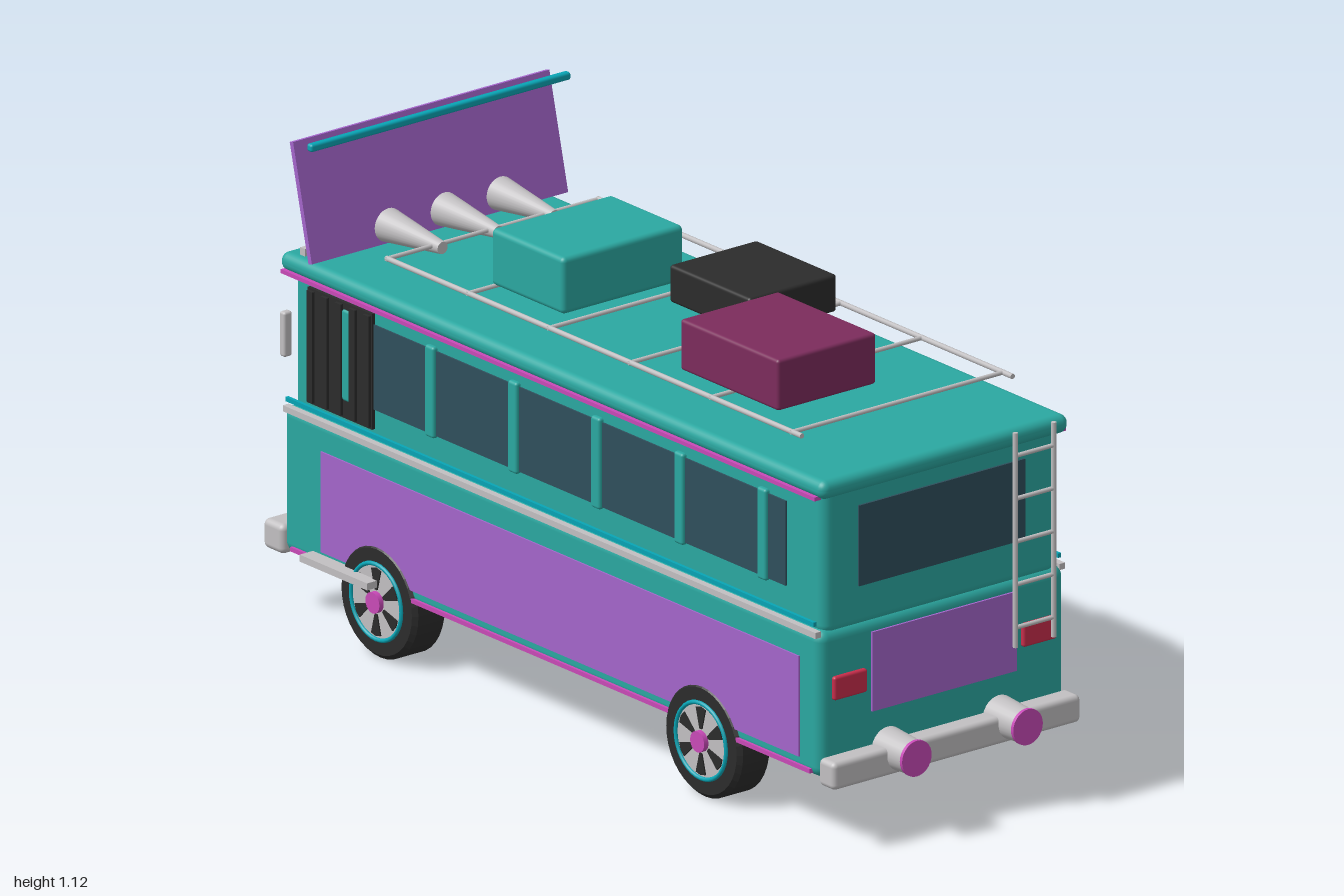
import * as THREE from 'three';
import { RoundedBoxGeometry } from 'three/addons/geometries/RoundedBoxGeometry.js';

const paint = (name, color) => {
  const m = new THREE.MeshStandardMaterial({ color });
  m.name = name;
  return m;
};

export function createModel() {
  const bus = new THREE.Group();
  bus.name = 'camperBus';
  const teal = paint('teal', 0x2ba8a1);
  const cyan = paint('cyan', 0x08a5b5);
  const purple = paint('purple', 0xa566cc);
  const magenta = paint('magenta', 0xc94ab8);
  const silver = paint('silver', 0xc2c0c2);
  const black = paint('black', 0x2c2c2c);
  const glass = paint('glass', 0x2f4f5c);
  const red = paint('red', 0xc82d4b);
  const maroon = paint('maroon', 0x7c2c5c);

  const add = (name, geo, mat, x = 0, y = 0, z = 0, parent = bus) => {
    const m = new THREE.Mesh(geo, mat);
    m.name = name;
    m.position.set(x, y, z);
    parent.add(m);
    return m;
  };
  // Box given by its limits on each axis; r > 0 rounds the edges
  const box = (name, mat, [x0, x1], [y0, y1], [z0, z1], r = 0) => {
    const s = [x1 - x0, y1 - y0, z1 - z0];
    const geo = r ? new RoundedBoxGeometry(...s, 3, r) : new THREE.BoxGeometry(...s);
    return add(name, geo, mat, (x0 + x1) / 2, (y0 + y1) / 2, (z0 + z1) / 2);
  };
  // Round bar between two points
  const bar = (name, mat, a, b, r) => {
    const p = new THREE.Vector3(...a), d = new THREE.Vector3(...b).sub(p);
    const m = add(name, new THREE.CylinderGeometry(r, r, d.length(), 10), mat);
    m.position.copy(p).addScaledVector(d, 0.5);
    m.quaternion.setFromUnitVectors(new THREE.Vector3(0, 1, 0), d.normalize());
    return m;
  };
  // Cylinder along z: r1 at the +z end, r0 at the -z end
  const zCyl = (name, mat, r1, r0, len, x, y, z) => {
    const geo = new THREE.CylinderGeometry(r1, r0, len, 28).rotateX(Math.PI / 2);
    return add(name, geo, mat, x, y, z);
  };

  // Body shell
  box('lowerBody', teal, [-0.34, 0.34], [0.15, 0.487], [-0.935, 0.9], 0.025);
  box('upperBody', teal, [-0.323, 0.323], [0.47, 0.82], [-0.918, 0.892], 0.025);
  box('roof', teal, [-0.343, 0.343], [0.792, 0.835], [-0.945, 0.912], 0.02);
  box('underbodyPlate', cyan, [-0.262, 0.262], [0.127, 0.135], [-0.78, 0.78]);
  box('chassis', teal, [-0.25, 0.25], [0.134, 0.16], [-0.77, 0.77]);

  // Side details on both flanks
  for (const s of [-1, 1]) {
    const span = (a, b) => (s > 0 ? [a, b] : [-b, -a]);
    box('sideGlass', glass, span(0.32, 0.327), [0.556, 0.75], [-0.775, 0.765]);
    for (let i = 0; i < 6; i++) {
      const z = 0.69 - 0.283 * i;
      box('windowPillar', teal, span(0.318, 0.335), [0.55, 0.76], [z - 0.016, z + 0.016], 0.007);
    }
    box('sidePanel', purple, span(0.336, 0.344), [0.187, 0.417], [-0.8, 0.83]);
    box('beltTrim', silver, span(0.33, 0.346), [0.474, 0.488], [-0.925, 0.89]);
    box('upperBeltTrim', cyan, span(0.335, 0.343), [0.498, 0.508], [-0.92, 0.88]);
    box('roofTrim', magenta, span(0.33, 0.348), [0.79, 0.799], [-0.93, 0.89]);
    box('sillTrim', magenta, span(0.335, 0.346), [0.16, 0.17], [-0.9, 0.87]);
    box('mirror', silver, span(0.373, 0.396), [0.627, 0.73], [-0.877, -0.858], 0.006);
    box('tailLight', red, span(0.216, 0.308), [0.328, 0.382], [0.89, 0.91], 0.006);

    // Exhausts
    zCyl('exhaust', silver, 0.038, 0.046, 0.11, 0.154 * s, 0.187, 0.94);
    zCyl('exhaustTip', magenta, 0.041, 0.041, 0.008, 0.154 * s, 0.187, 0.996);

    // Headlights
    zCyl('headlight', silver, 0.064, 0.06, 0.025, 0.215 * s, 0.342, -0.943);
    const ring = new THREE.TorusGeometry(0.06, 0.006, 8, 28);
    add('headlightRing', ring, silver, 0.215 * s, 0.342, -0.953);
  }

  // Door and step on one side
  box('door', black, [-0.331, -0.32], [0.51, 0.775], [-0.86, -0.64]);
  for (let i = 0; i < 5; i++) {
    const z = -0.845 + i * 0.048;
    box('doorSlat', black, [-0.338, -0.325], [0.515, 0.77], [z - 0.01, z + 0.01]);
  }
  box('doorStep', silver, [-0.377, -0.335], [0.164, 0.18], [-0.83, -0.6]);

  // Tail end
  box('rearWindow', glass, [-0.23, 0.23], [0.57, 0.755], [0.89, 0.897]);
  box('rearPanel', purple, [-0.2, 0.2], [0.278, 0.46], [0.898, 0.905]);
  box('rearBumper', silver, [-0.343, 0.343], [0.14, 0.203], [0.895, 0.95], 0.012);

  // Ladder
  for (const x of [0.184, 0.29]) bar('ladderRail', silver, [x, 0.34, 0.92], [x, 0.832, 0.92], 0.006);
  for (let i = 0; i < 5; i++) {
    const y = 0.385 + i * 0.0985;
    bar('ladderRung', silver, [0.184, y, 0.92], [0.29, y, 0.92], 0.005);
  }

  // Nose end
  box('windscreen', glass, [-0.29, 0.29], [0.52, 0.762], [-0.924, -0.916]);
  box('windscreenVisor', magenta, [-0.22, 0.22], [0.765, 0.788], [-0.934, -0.918]);
  box('grille', black, [-0.135, 0.135], [0.288, 0.396], [-0.942, -0.93]);
  for (let i = 0; i < 6; i++) {
    const y = 0.291 + i * 0.0204;
    box('grilleSlat', silver, [-0.135, 0.135], [y - 0.004, y + 0.004], [-0.95, -0.938]);
  }
  for (const x of [-0.135, 0.135]) box('grilleFrame', silver, [x - 0.004, x + 0.004], [0.287, 0.397], [-0.95, -0.938]);
  box('frontBumper', silver, [-0.343, 0.343], [0.14, 0.208], [-1, -0.93], 0.014);

  // Wheels: outer face is built towards +x, then turned for the other side
  const tyreProfile = [[0.085, -0.046], [0.12, -0.046], [0.13, -0.036], [0.13, 0.036], [0.12, 0.046], [0.085, 0.046]]
    .map(([r, h]) => new THREE.Vector2(r, h));
  const wedge = new THREE.Shape([[0.028, -0.004], [0.074, -0.016], [0.078, 0], [0.074, 0.016], [0.028, 0.004]]
    .map(([x, y]) => new THREE.Vector2(x, y)));
  for (const s of [-1, 1]) for (const z of [-0.604, 0.503]) {
    const wheel = new THREE.Group();
    wheel.name = 'wheel';
    wheel.position.set(0.301 * s, 0.13, z);
    if (s < 0) wheel.rotation.y = Math.PI;
    bus.add(wheel);
    const tyre = new THREE.LatheGeometry(tyreProfile, 36).toNonIndexed();
    tyre.computeVertexNormals();
    add('tyre', tyre.rotateZ(-Math.PI / 2), black, 0, 0, 0, wheel);
    add('rim', new THREE.CylinderGeometry(0.086, 0.086, 0.092, 32).rotateZ(-Math.PI / 2), silver, 0, 0, 0, wheel);
    add('rimRing', new THREE.TorusGeometry(0.086, 0.005, 8, 36).rotateY(Math.PI / 2), cyan, 0.047, 0, 0, wheel);
    for (let i = 0; i < 6; i++) {
      const gap = new THREE.ExtrudeGeometry(wedge, { depth: 0.004, bevelEnabled: false });
      gap.rotateZ((i + 0.5) * Math.PI / 3).rotateY(Math.PI / 2);
      add('rimGap', gap, black, 0.045, 0, 0, wheel);
    }
    add('hub', new THREE.CylinderGeometry(0.024, 0.024, 0.02, 20).rotateZ(-Math.PI / 2), magenta, 0.048, 0, 0, wheel);
  }

  // Roof rack
  for (const x of [-0.292, 0.292]) bar('rackRail', silver, [x, 0.895, -0.638], [x, 0.895, 0.778], 0.006);
  for (let i = 0; i < 6; i++) {
    const z = -0.635 + i * 0.276;
    bar('rackCrossbar', silver, [-0.297, 0.895, z], [0.297, 0.895, z], 0.005);
  }

  // Luggage
  box('maroonCase', maroon, [-0.246, 0.027], [0.9, 1.017], [0.305, 0.64], 0.008);
  box('blackCase', black, [0, 0.243], [0.9, 0.986], [-0.035, 0.24], 0.008);
  box('tealCase', teal, [-0.23, 0.105], [0.9, 1.03], [-0.36, -0.112], 0.012);

  // Roof horns, flaring towards the nose
  for (const x of [-0.155, 0, 0.155]) zCyl('horn', silver, 0.014, 0.038, 0.185, x, 0.893, -0.708);

  // Tilted roof sign panel with its light bars
  const panel = box('signPanel', purple, [-0.355, 0.355], [-0.135, 0.135], [-0.006, 0.006]);
  panel.position.set(0, 0.974, -0.853);
  panel.rotation.x = -0.24;
  box('signTopBar', cyan, [-0.36, 0.36], [1.102, 1.12], [-0.828, -0.81], 0.006);
  box('roofLightBar', silver, [-0.32, 0.32], [0.834, 0.852], [-0.898, -0.882]);

  return bus;
}
